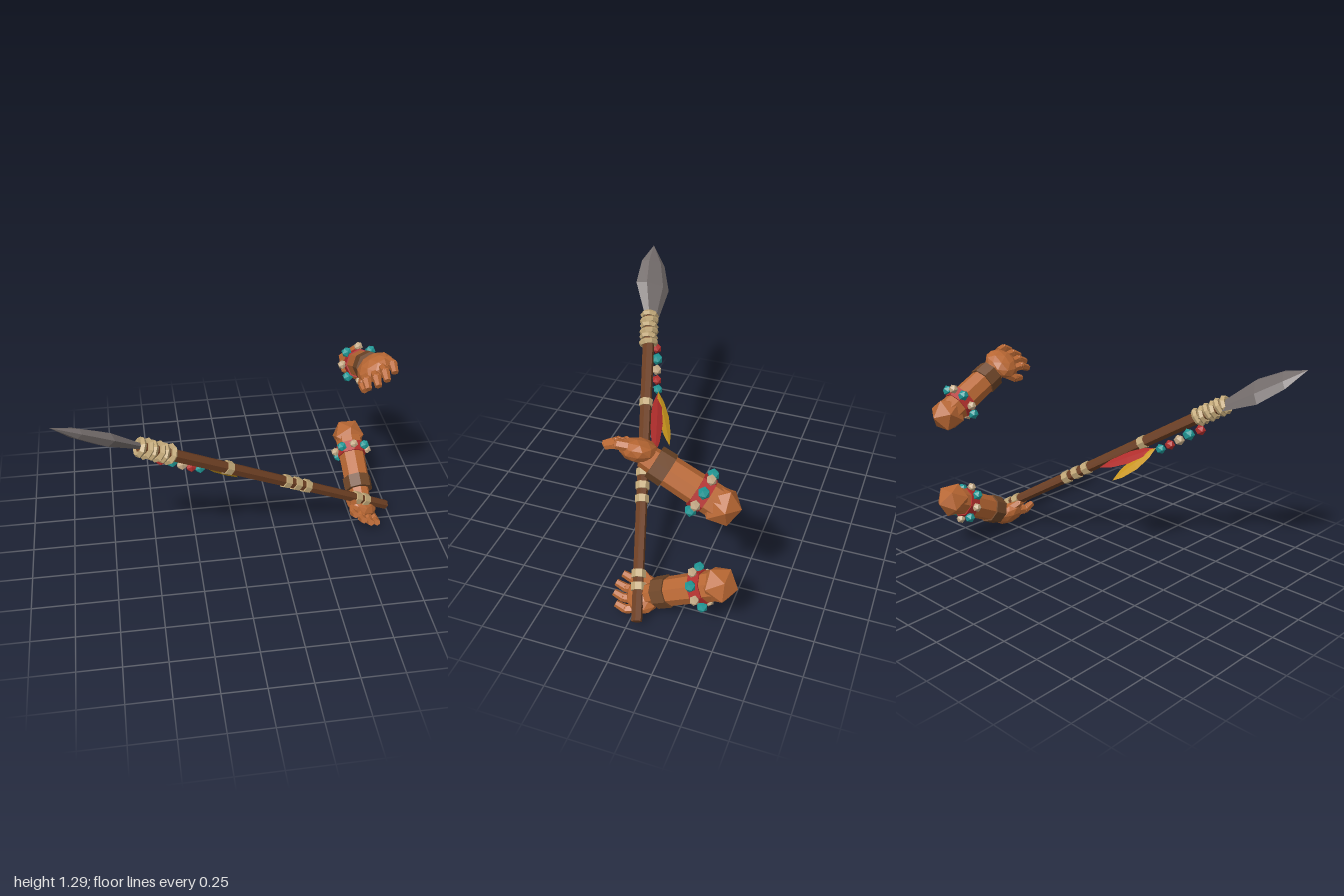
import * as THREE from 'three';

const V = (x, y, z) => new THREE.Vector3(x, y, z);
const UP = V(0, 1, 0);

function makeMaterial(name, color) {
  const m = new THREE.MeshStandardMaterial({ color });
  m.name = name;
  return m;
}

export function createModel() {
  const root = new THREE.Group();
  root.name = 'spearAndHands';
  const mat = {
    skin: makeMaterial('skin', 0xb86733),
    leather: makeMaterial('leather', 0x6f4628),
    wood: makeMaterial('wood', 0x6d3f23),
    cord: makeMaterial('cord', 0xc2a878),
    stone: makeMaterial('stone', 0x736c6b),
    red: makeMaterial('red', 0xb22e2c),
    teal: makeMaterial('teal', 0x1f9694),
    bone: makeMaterial('bone', 0xc4aa86),
    yellow: makeMaterial('yellow', 0xcc981e),
  };

  // Faceted mesh: every face gets its own normal
  function add(parent, name, geo, material) {
    const flat = geo.index ? geo.toNonIndexed() : geo;
    flat.computeVertexNormals();
    const mesh = new THREE.Mesh(flat, material);
    mesh.name = name;
    parent.add(mesh);
    return mesh;
  }

  // Tapered rod between two points
  function rod(parent, name, a, b, ra, rb, sides, material) {
    const dir = b.clone().sub(a);
    const mesh = add(parent, name, new THREE.CylinderGeometry(rb, ra, dir.length(), sides), material);
    mesh.position.copy(a).lerp(b, 0.5);
    mesh.quaternion.setFromUnitVectors(UP, dir.normalize());
  }

  function bead(parent, name, p, r, material) {
    const mesh = add(parent, name, new THREE.IcosahedronGeometry(r, 0), material);
    mesh.position.copy(p);
    return mesh;
  }

  // Flattened leaf form from base to tip; wide is the direction of its width
  function leaf(parent, name, base, tip, wide, profile, sides, thin, material) {
    const y = tip.clone().sub(base).normalize();
    const z = wide.clone().addScaledVector(y, -wide.dot(y)).normalize();
    const x = y.clone().cross(z);
    const pts = profile.map(([r, h]) => new THREE.Vector2(r, h));
    const geo = new THREE.LatheGeometry(pts, sides);
    geo.scale(thin, base.distanceTo(tip), 1);
    const mesh = add(parent, name, geo, material);
    mesh.quaternion.setFromRotationMatrix(new THREE.Matrix4().makeBasis(x, y, z));
    mesh.position.copy(base);
  }

  // Spear shaft
  const spear = new THREE.Group();
  spear.name = 'spear';
  root.add(spear);
  const top = V(-0.48, 0.99, 0.41), end = V(0.98, 0.06, -0.06);
  const along = t => top.clone().lerp(end, t);
  const axis = end.clone().sub(top).normalize();
  rod(spear, 'shaft', along(-0.06), along(1), 0.037, 0.031, 6, mat.wood);

  // Cord bands along the shaft
  for (const t of [0.274, 0.52, 0.565, 0.61, 0.853, 0.893]) {
    rod(spear, 'cordBand', along(t - 0.012), along(t + 0.012), 0.041, 0.041, 7, mat.cord);
  }

  // Thick lashing under the blade
  for (let i = 0; i < 6; i++) {
    const ring = add(spear, 'lashing', new THREE.TorusGeometry(0.041 + 0.003 * (i % 2), 0.018, 5, 8), mat.cord);
    ring.position.copy(along(-0.056 + i * 0.021));
    ring.quaternion.setFromUnitVectors(V(0, 0, 1), axis);
    ring.rotateX(i % 2 ? 0.14 : -0.1);
    ring.rotateZ(i * 0.4);
  }

  // Stone blade
  leaf(spear, 'blade', V(-0.555, 1.035, 0.42), V(-0.995, 1.3, 0.568), V(-0.059, -0.047, -0.091),
    [[0, 0], [0.045, 0], [0.112, 0.42], [0.08, 0.74], [0, 1]], 6, 0.36, mat.stone);

  // Hanging beads and feathers
  const string = [
    [-0.455, 0.885, 0.352, 0.032, 'red'], [-0.392, 0.85, 0.325, 0.037, 'teal'],
    [-0.337, 0.807, 0.308, 0.033, 'bone'], [-0.285, 0.77, 0.288, 0.031, 'red'],
    [-0.235, 0.738, 0.264, 0.031, 'teal'],
  ];
  for (const [x, y, z, r, c] of string) bead(spear, 'hangingBead', V(x, y, z), r, mat[c]);
  const feather = [[0, 0], [0.032, 0.2], [0.046, 0.48], [0.03, 0.8], [0, 1]];
  leaf(spear, 'redFeather', V(-0.205, 0.737, 0.252), V(0.145, 0.553, 0.142), V(0.73, 0.8, 1),
    feather, 4, 0.12, mat.red);
  leaf(spear, 'yellowFeather', V(-0.21, 0.742, 0.252), V(0.003, 0.517, 0.103), V(0.79, 0.4, 0.45),
    feather, 4, 0.12, mat.yellow);

  // One forearm with its hand; s = -1 gives the arm mirrored in height
  function arm(name, s) {
    const g = new THREE.Group();
    g.name = name;
    root.add(g);
    const cx = 0.818;
    const P = (x, y, z) => V(x, 0.61 + s * (y - 0.61), z);
    const elbow = P(cx, 0.89, -0.473), wrist = P(cx, 1.052, -0.162);
    const at = t => elbow.clone().lerp(wrist, t);
    const dir = wrist.clone().sub(elbow).normalize();
    const side = V(1, 0, 0), over = dir.clone().cross(side);

    const joint = bead(g, 'elbow', elbow, 0.107, mat.skin);
    joint.quaternion.setFromUnitVectors(V(0, -s, -(1 + Math.sqrt(5)) / 2).normalize(), V(0, 0, -1));
    rod(g, 'forearm', at(0), at(1.05), 0.086, 0.08, 8, mat.skin);
    rod(g, 'cuff', at(0.89), at(1.13), 0.091, 0.089, 8, mat.leather);
    rod(g, 'wrist', at(1), at(1.3), 0.07, 0.062, 8, mat.skin);
    rod(g, 'armband', at(0.225), at(0.425), 0.092, 0.092, 8, mat.red);

    // Beads around the armband
    for (let i = 0; i < 8; i++) {
      const a = i * Math.PI / 4;
      const p = at(0.325).addScaledVector(side, 0.105 * Math.cos(a)).addScaledVector(over, 0.105 * Math.sin(a));
      bead(g, 'armbandBead', p, i % 2 ? 0.033 : 0.029, i % 2 ? mat.teal : mat.bone);
    }

    // Flat palm, slanted along the row of fingers
    const palmGeo = new THREE.IcosahedronGeometry(1, 1);
    palmGeo.scale(0.112, 0.064, 0.1);
    const palm = add(g, 'palm', palmGeo, mat.skin);
    palm.rotation.z = s * 0.58;
    palm.position.copy(P(cx - 0.005, 1.12, -0.04));

    // Fingers and thumb
    const tips = [0.112, 0.135, 0.13, 0.1];
    for (let i = 0; i < 4; i++) {
      const x = 0.742 + i * 0.049, y = 1.09 + i * 0.03, z = tips[i];
      const knuckle = P(x, y + 0.01, z - 0.055);
      rod(g, 'fingerBase', P(x + (cx - x) * 0.2, y, -0.01), knuckle, 0.027, 0.026, 6, mat.skin);
      bead(g, 'knuckle', knuckle, 0.027, mat.skin);
      rod(g, 'fingerTip', knuckle, P(x, y - 0.015, z + 0.003), 0.026, 0.02, 6, mat.skin);
    }
    const thumbJoint = P(0.74, 1.035, 0.0);
    rod(g, 'thumbBase', P(0.77, 1.075, -0.06), thumbJoint, 0.034, 0.028, 6, mat.skin);
    bead(g, 'thumbJoint', thumbJoint, 0.029, mat.skin);
    rod(g, 'thumbTip', thumbJoint, P(0.74, 1.024, 0.052), 0.027, 0.02, 6, mat.skin);
  }
  arm('upperArm', 1);
  arm('lowerArm', -1);

  return root;
}
